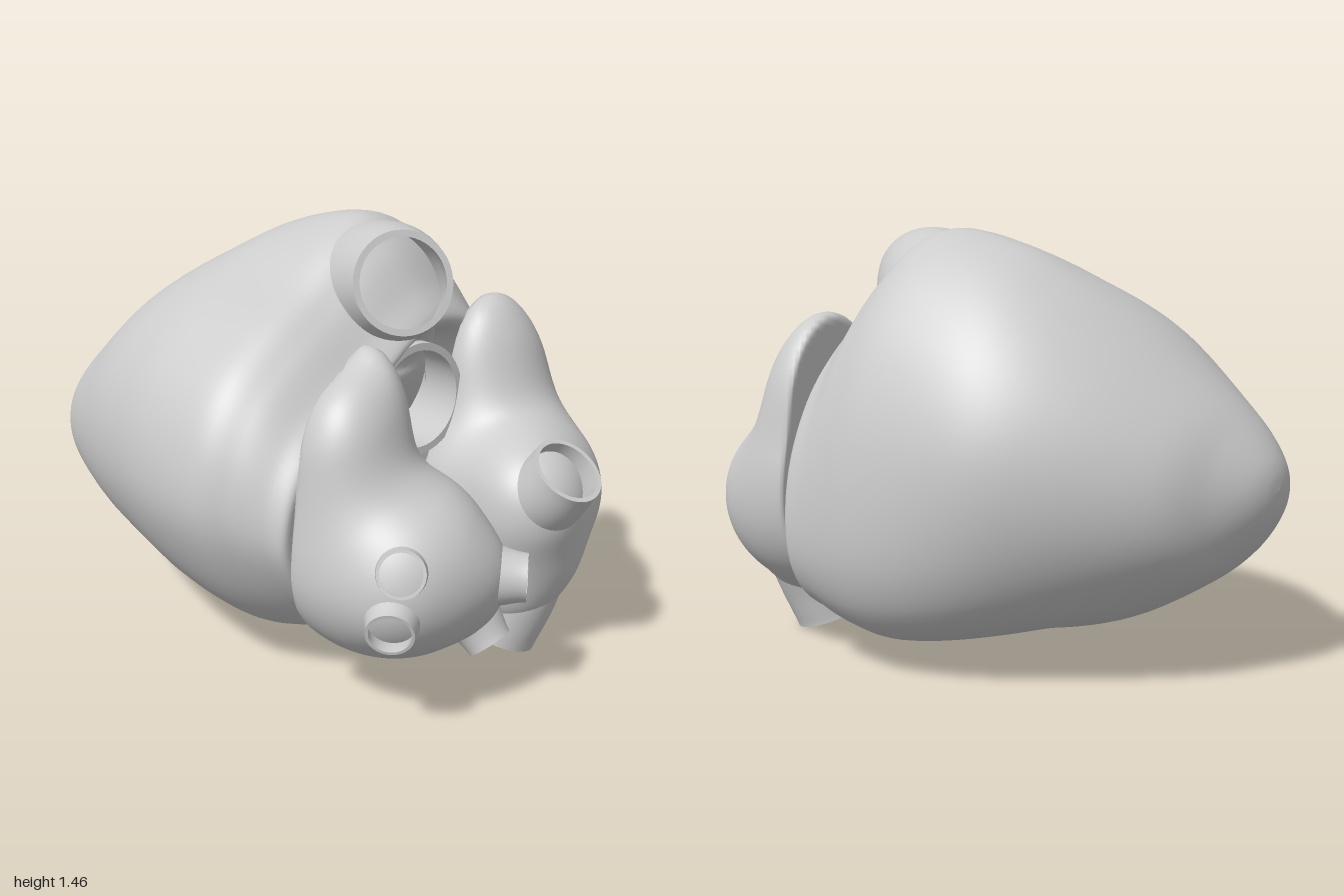
import * as THREE from 'three';
import { mergeVertices } from 'three/addons/utils/BufferGeometryUtils.js';

const V = (x, y, z) => new THREE.Vector3(x, y, z);
const material = new THREE.MeshStandardMaterial({ color: 0xcccccc, side: THREE.DoubleSide });

function addMesh(group, name, geometry) {
  const mesh = new THREE.Mesh(geometry, material);
  mesh.name = name;
  group.add(mesh);
}

// Skin a list of closed rings, each counter-clockwise seen from the first ring's side
function loft(rings) {
  const n = rings[0].length, index = [];
  for (let k = 0; k < rings.length - 1; k++) {
    for (let j = 0; j < n; j++) {
      const a = k * n + j, b = k * n + (j + 1) % n;
      index.push(a, a + n, b, b, a + n, b + n);
    }
  }
  const g = new THREE.BufferGeometry().setFromPoints(rings.flat());
  g.setIndex(index);
  g.computeVertexNormals();
  return g;
}

// Hollow vessel along a path from its buried, flared root to its open rim
function vessel(path, rootRadius, rimRadius, floor, flare) {
  const curve = new THREE.CatmullRomCurve3(path), wall = rimRadius * 0.13, rings = [];
  const ring = (s, inset, closed) => {
    const c = curve.getPoint(s), t = curve.getTangent(s);
    const u = V(0.31, 0.9, 0.3).cross(t).normalize(), v = t.clone().cross(u);
    const r = closed ? 0 : THREE.MathUtils.lerp(rimRadius, rootRadius, (1 - s) ** flare) - inset;
    rings.push(Array.from({ length: 48 }, (_, j) => {
      const a = j / 48 * Math.PI * 2;
      return c.clone().addScaledVector(u, r * Math.cos(a)).addScaledVector(v, r * Math.sin(a));
    }));
  };
  ring(floor, wall, true);
  ring(floor, wall);
  for (let i = 0; i <= 10; i++) ring(floor + (1 - floor) * i / 10, wall);
  ring(1, wall); // doubled rings keep the rim crisp
  ring(1, 0);
  for (let i = 0; i <= 20; i++) ring(1 - i / 20, 0);
  return loft(rings);
}

// Distance rules for soft shapes
const ellipsoid = (c, r) => p => {
  const q = p.clone().sub(c).divide(r), k = q.length();
  return k * (k - 1) / Math.max(1e-6, q.divide(r).length());
};
const capsule = (a, b, r) => {
  const line = new THREE.Line3(a, b), q = V(0, 0, 0);
  return p => line.closestPointToPoint(p, true, q).distanceTo(p) - r;
};
const blend = (a, b, k) => {
  const h = Math.max(k - Math.abs(a - b), 0) / k;
  return Math.min(a, b) - h * h * k / 4;
};

// Sphere whose points are moved onto the blended surface, flattened at the back
function softBody(centre, shapes, smooth, back) {
  const field = p => shapes.map(f => f(p)).reduce((a, b) => blend(a, b, smooth));
  let g = new THREE.SphereGeometry(1, 112, 80);
  g.deleteAttribute('uv');
  g.deleteAttribute('normal');
  g = mergeVertices(g, 1e-5);
  const pos = g.attributes.position, d = V(0, 0, 0), p = V(0, 0, 0);
  for (let i = 0; i < pos.count; i++) {
    d.fromBufferAttribute(pos, i).normalize();
    const at = t => field(p.copy(centre).addScaledVector(d, t));
    let lo = 0.9;
    while (lo > 0.02 && at(lo) > 0) lo -= 0.02;
    let hi = lo + 0.02;
    for (let n = 0; n < 8; n++) {
      const mid = (lo + hi) / 2;
      if (at(mid) > 0) hi = mid; else lo = mid;
    }
    p.copy(centre).addScaledVector(d, lo);
    pos.setXYZ(i, p.x, p.y, Math.max(p.z, back));
  }
  g.computeVertexNormals();
  return g;
}

// Ventricles: one rounded outline fitted to a changing box along z, open at the aorta
function ventricles() {
  const outline = new THREE.CatmullRomCurve3([
    [0.71, 0.55], [0.685, 0.8], [0.62, 1.02], [0.54, 1.18], [0.42, 1.33], [0.29, 1.425], [0.13, 1.46],
    [-0.02, 1.4], [-0.2, 1.27], [-0.4, 1.16], [-0.58, 1.02], [-0.68, 0.85], [-0.715, 0.64],
    [-0.66, 0.45], [-0.53, 0.25], [-0.35, 0.12], [-0.15, 0.075], [0.06, 0.1], [0.22, 0.125],
    [0.37, 0.09], [0.5, 0.11], [0.62, 0.2], [0.69, 0.35],
  ].map(([x, y]) => V((x + 0.715) / 1.425, (y - 0.075) / 1.385, 0)), true).getPoints(96).slice(0, 96);
  // z, left, right, bottom, top
  const keys = [
    [0.27, -0.15, 0.25, 0.68, 1.08], [0.32, -0.45, 0.53, 0.33, 1.08],
    [0.37, -0.59, 0.675, 0.175, 1.13], [0.3, -0.625, 0.69, 0.125, 1.23], [0.2, -0.67, 0.7, 0.09, 1.37],
    [0.06, -0.715, 0.71, 0.075, 1.455], [-0.2, -0.68, 0.68, 0.09, 1.405], [-0.4, -0.62, 0.62, 0.13, 1.3],
    [-0.6, -0.545, 0.48, 0.2, 1.15], [-0.8, -0.445, 0.28, 0.32, 0.96], [-0.9, -0.375, 0.11, 0.41, 0.85],
    [-0.965, -0.3, -0.01, 0.505, 0.76], [-0.992, -0.23, -0.09, 0.575, 0.7], [-1, -0.16, -0.16, 0.64, 0.64],
  ];
  const xs = new THREE.CatmullRomCurve3(keys.map(k => V(k[0], k[1], k[2])), false, 'catmullrom');
  const ys = new THREE.CatmullRomCurve3(keys.map(k => V(k[0], k[3], k[4])), false, 'catmullrom');
  const rings = [];
  for (let i = 0; i <= 91; i++) {
    const a = xs.getPoint(i / 91), b = ys.getPoint(i / 91);
    const round = THREE.MathUtils.smoothstep(-a.x, -0.1, 0.65);
    rings.push(outline.map(o => {
      // the outline turns into an ellipse toward the apex
      const e = V(o.x - 0.5, o.y - 0.5, 0).setLength(0.5).add(V(0.5, 0.5, 0));
      const q = o.clone().lerp(e, round);
      return V(a.y + (a.z - a.y) * q.x, b.y + (b.z - b.y) * q.y, a.x);
    }));
  }
  return loft(rings);
}

export function createModel() {
  const heart = new THREE.Group();
  heart.name = 'heart';
  addMesh(heart, 'ventricles', ventricles());

  // Great arteries
  addMesh(heart, 'pulmonaryTrunk', vessel(
    [V(0.17, 0.95, -0.05), V(0.145, 1.14, 0.08), V(0.08, 1.235, 0.21), V(-0.02, 1.29, 0.365)], 0.33, 0.17, 0.2, 1));
  addMesh(heart, 'aorta', vessel([V(0.13, 0.86, 0), V(0.05, 0.885, 0.39)], 0.2, 0.19, 0.05, 1));

  // Atria with their appendages; veins are rim centre, direction, radius, length, root flare
  const atria = [
    {
      name: 'pulmonaryVeinAtrium', centre: V(-0.28, 0.47, 0.52),
      shapes: [
        ellipsoid(V(-0.28, 0.47, 0.5), V(0.32, 0.32, 0.385)),
        ellipsoid(V(-0.37, 0.78, 0.43), V(0.185, 0.28, 0.17)),
        ellipsoid(V(-0.245, 0.95, 0.4), V(0.08, 0.19, 0.12)),
      ],
      veins: [
        [V(-0.085, 0.45, 0.92), V(0.5, 0, 0.86), 0.077, 0.19, 1.8],
        [V(-0.13, 0.205, 0.82), V(0.1, -0.75, 0.62), 0.075, 0.19, 1.8],
        [V(-0.53, 0.575, 0.76), V(-0.75, 0.3, 0.55), 0.075, 0.17, 1.8],
        [V(-0.58, 0.395, 0.76), V(-0.8, -0.2, 0.5), 0.075, 0.19, 1.8],
      ],
    },
    {
      name: 'venaCavaAtrium', centre: V(0.36, 0.52, 0.54),
      shapes: [
        ellipsoid(V(0.385, 0.52, 0.49), V(0.305, 0.32, 0.38)),
        ellipsoid(V(0.46, 0.7, 0.44), V(0.215, 0.34, 0.17)),
        ellipsoid(V(0.43, 0.94, 0.41), V(0.18, 0.235, 0.12)),
        capsule(V(0.215, 0.6, 0.72), V(0.225, 0.25, 0.65), 0.15),
      ],
      veins: [
        [V(0.172, 0.725, 0.893), V(-0.1, 0.8, 0.6), 0.122, 0.24, 1.2],
        [V(0.21, 0.045, 0.62), V(-0.26, -0.94, -0.24), 0.145, 0.34, 1.2],
      ],
    },
  ];
  for (const { name, centre, shapes, veins } of atria) {
    veins.forEach(([rim, dir, r, length, flare], i) => {
      dir.normalize();
      const back = d => rim.clone().addScaledVector(dir, -d);
      const root = back(length).lerp(centre, 0.2);
      shapes.push(capsule(back(length).lerp(centre, 0.5), back(length * 0.5 + r * 0.95), r * 0.95));
      addMesh(heart, `${name}Vein${i + 1}`, vessel([root, back(length * 0.5), rim], r * flare, r, 0.45, 1.5));
    });
    addMesh(heart, name, softBody(centre, shapes, 0.14, 0.37));
  }
  return heart;
}
